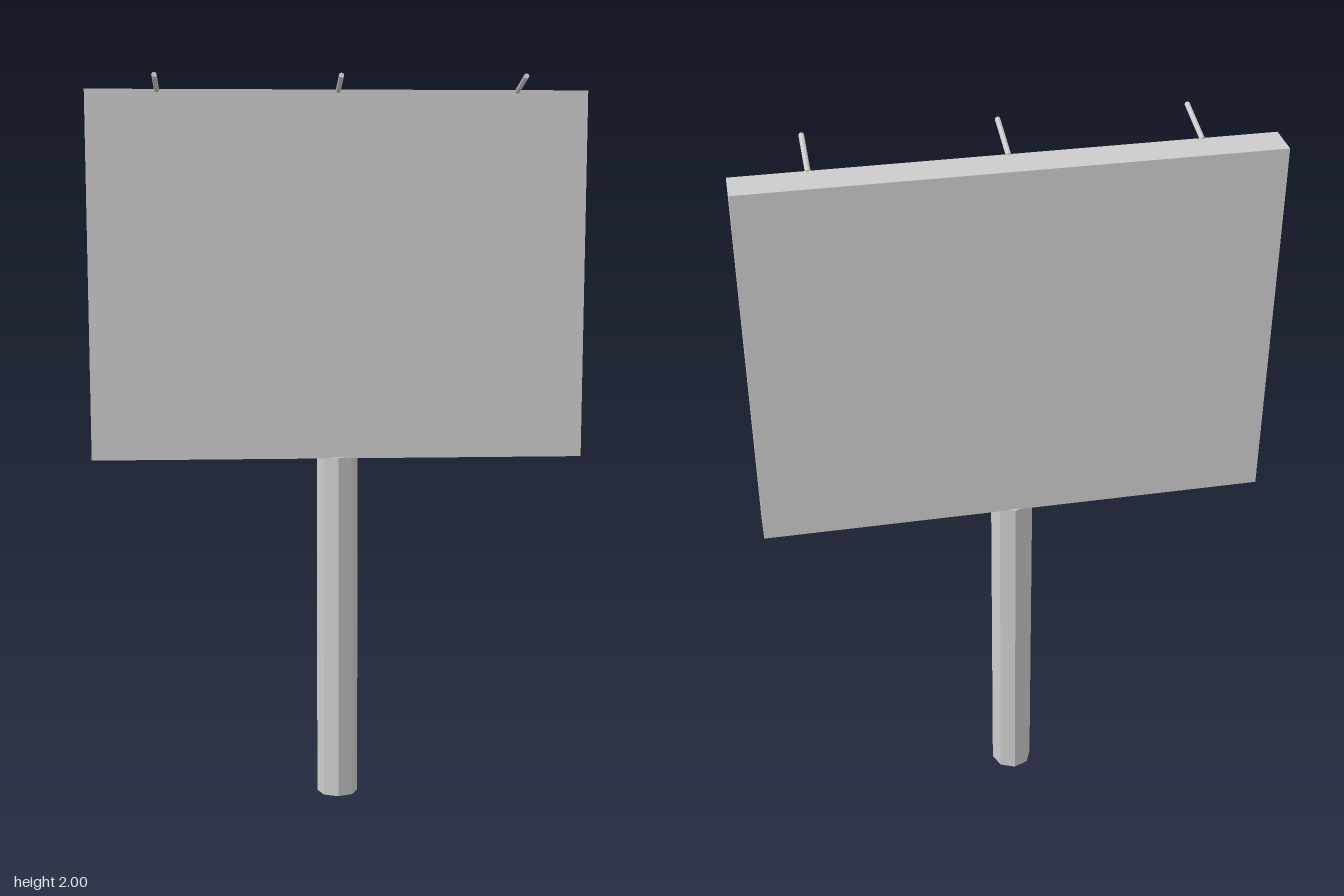
import * as THREE from 'three';

export function createModel() {
  const model = new THREE.Group();
  model.name = 'billboard';
  const grey = new THREE.MeshStandardMaterial({ color: 0xcccccc, flatShading: true });
  grey.name = 'light grey';

  const add = (name, geometry, x, y, z) => {
    const mesh = new THREE.Mesh(geometry, grey);
    mesh.name = name;
    mesh.position.set(x, y, z);
    model.add(mesh);
    return mesh;
  };

  // Box given by its extents
  const block = (name, x0, x1, y0, y1, z0, z1) =>
    add(name, new THREE.BoxGeometry(x1 - x0, y1 - y0, z1 - z0),
      (x0 + x1) / 2, (y0 + y1) / 2, (z0 + z1) / 2);

  // Eight-sided pole
  add('pole', new THREE.CylinderGeometry(0.057, 0.057, 0.97, 8), 0, 0.485, -0.068);

  // Display board with thin raised panels on its front
  block('board', -0.675, 0.675, 0.968, 1.965, -0.118, -0.02);
  block('poster', -0.645, 0.645, 0.985, 1.947, -0.02, -0.015);
  block('picturePanel', -0.515, 0, 1.16, 1.74, -0.015, -0.011);
  block('captionStrip', 0.065, 0.58, 1.598, 1.606, -0.015, -0.011);

  // Slanted lamp arms along the top front edge
  const start = new THREE.Vector3(0, 1.962, -0.022);
  const end = new THREE.Vector3(0, 1.993, 0.123);
  const direction = end.clone().sub(start);
  const middle = start.clone().add(end).multiplyScalar(0.5);
  for (const x of [-0.483, 0, 0.483]) {
    const arm = add('lampArm', new THREE.CylinderGeometry(0.007, 0.007, direction.length(), 8),
      x, middle.y, middle.z);
    arm.quaternion.setFromUnitVectors(new THREE.Vector3(0, 1, 0), direction.clone().normalize());
  }

  return model;
}
